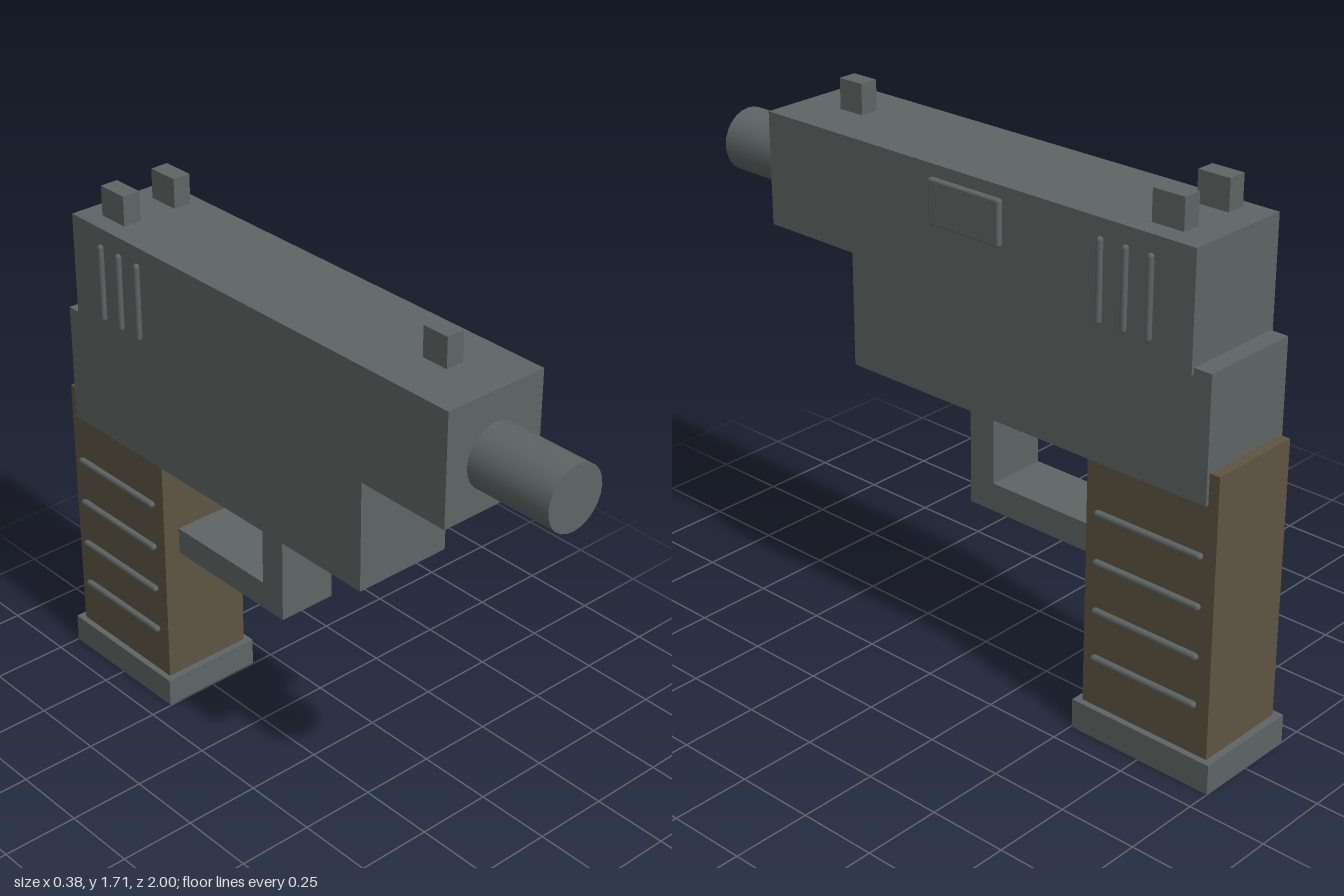
import * as THREE from 'three';
import { RoundedBoxGeometry } from 'three/addons/geometries/RoundedBoxGeometry.js';

export function createModel() {
  const model = new THREE.Group();
  model.name = 'pistol';

  const metal = new THREE.MeshStandardMaterial({ color: 0x5d6564 });
  metal.name = 'gunmetal';
  const wood = new THREE.MeshStandardMaterial({ color: 0x5d5441 });
  wood.name = 'brown grip';

  const add = (name, geometry, material = metal) => {
    const mesh = new THREE.Mesh(geometry, material);
    mesh.name = name;
    model.add(mesh);
    return mesh;
  };

  // Box centred on x, given half width and y / z ranges
  const block = (name, halfX, y0, y1, z0, z1, material = metal, x = 0) => {
    const mesh = add(name, new THREE.BoxGeometry(halfX * 2, y1 - y0, z1 - z0), material);
    mesh.position.set(x, (y0 + y1) / 2, (z0 + z1) / 2);
    return mesh;
  };

  // Main body
  block('slide', 0.175, 1.25, 1.605, -0.885, 0.71);
  block('frame', 0.165, 0.885, 1.27, -0.943, 0.38);
  block('grip', 0.155, 0.09, 0.98, -0.977, -0.525, wood);
  block('magazineBase', 0.175, 0, 0.095, -1, -0.503);

  // Barrel
  const barrel = add('barrel', new THREE.CylinderGeometry(0.1, 0.1, 0.32, 24));
  barrel.rotation.x = Math.PI / 2;
  barrel.position.set(0, 1.41, 0.84);

  // Trigger and its guard, an L-shaped bar
  block('trigger', 0.037, 0.81, 0.89, -0.355, -0.29);
  const guardShape = new THREE.Shape([
    [0.03, 0.545], [0.53, 0.545], [0.53, 0.635], [0.12, 0.635], [0.12, 0.89], [0.03, 0.89],
  ].map(([x, y]) => new THREE.Vector2(x, y)));
  const guard = add('triggerGuard',
    new THREE.ExtrudeGeometry(guardShape, { depth: 0.196, bevelEnabled: false }));
  guard.rotation.y = Math.PI / 2;
  guard.position.x = -0.098;

  // Sights
  block('frontSight', 0.03, 1.612, 1.707, 0.465, 0.555);
  for (const x of [-0.094, 0.094]) {
    block('rearSight', 0.03, 1.612, 1.707, -0.803, -0.697, metal, x);
  }

  // Ejection port cover, on one side only
  const port = add('ejectionPort', new RoundedBoxGeometry(0.04, 0.14, 0.268, 2, 0.008));
  port.position.set(0.171, 1.497, -0.087);

  // Slide serrations and grip ridges on both sides
  for (const side of [-1, 1]) {
    for (const z of [-0.572, -0.658, -0.743]) {
      const serration = add('slideSerration', new THREE.CapsuleGeometry(0.01, 0.23, 4, 8));
      serration.position.set(side * 0.181, 1.43, z);
    }
    for (const y of [0.26, 0.415, 0.572, 0.728]) {
      const ridge = add('gripRidge', new THREE.CapsuleGeometry(0.011, 0.355, 4, 8));
      ridge.rotation.x = Math.PI / 2;
      ridge.position.set(side * 0.164, y, -0.75);
    }
  }

  return model;
}
